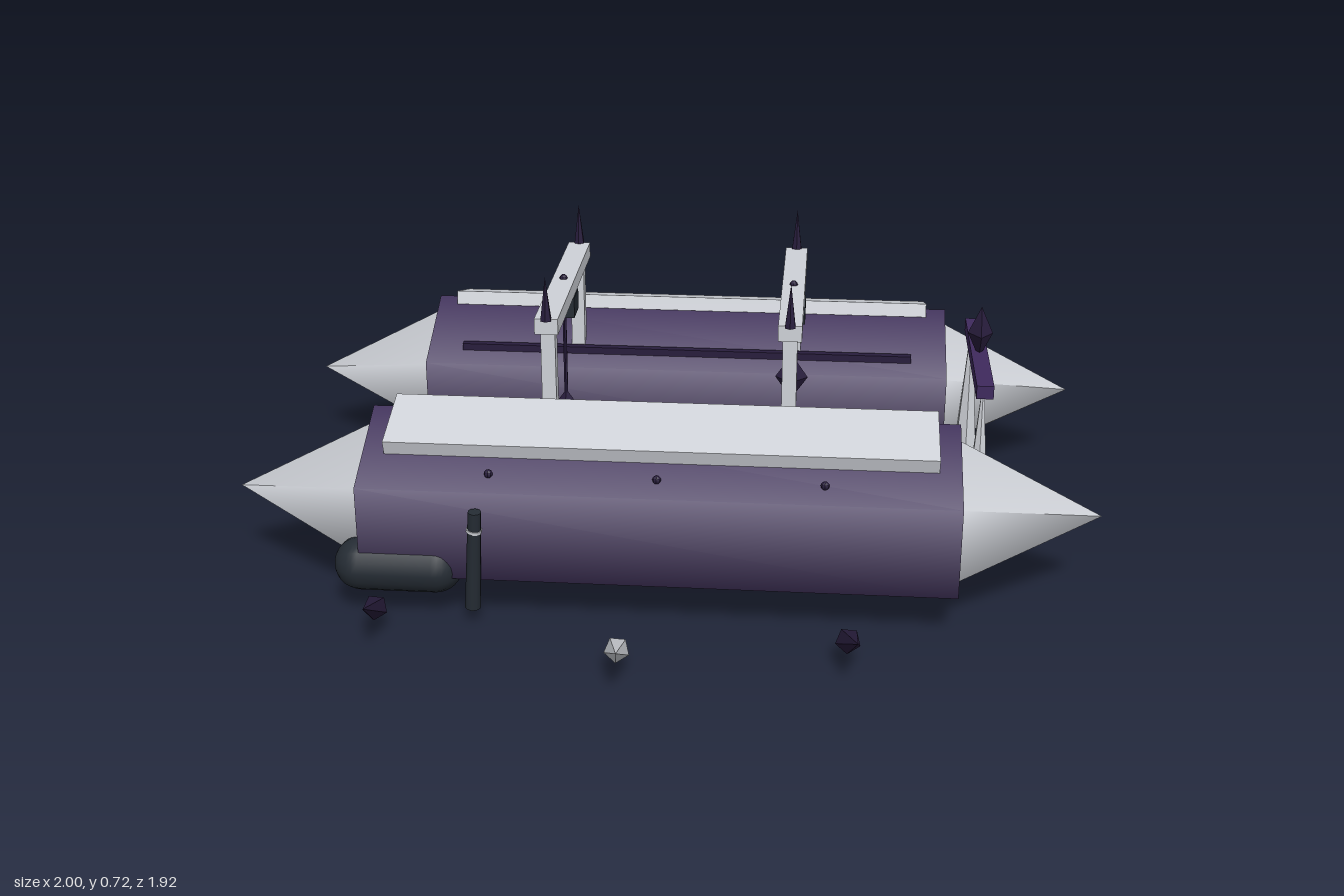
import * as THREE from 'three';

const mat = (color, flatShading = false) => new THREE.MeshStandardMaterial({ color, flatShading });
const purple = mat(0x44355f), violet = mat(0x3f2a5e), night = mat(0x281d3c, true);
const dark = mat(0x252c34), pale = mat(0xcfd2d8), paleFlat = mat(0xcfd2d8, true);

export function createModel() {
  const model = new THREE.Group();
  const add = (name, geometry, material, x, y, z) => {
    const mesh = new THREE.Mesh(geometry, material);
    mesh.name = name;
    mesh.position.set(x, y, z);
    model.add(mesh);
    return mesh;
  };
  const box = (name, w, h, d, material, x, y, z) =>
    add(name, new THREE.BoxGeometry(w, h, d), material, x, y, z);
  const gem = (name, sx, sy, sz, material, x, y, z) =>
    add(name, new THREE.OctahedronGeometry(1).scale(sx, sy, sz), material, x, y, z);
  const bolt = (x, y, z) => add('bolt', new THREE.SphereGeometry(0.01, 8, 6), night, x, y, z);
  // six-sided prism or cone lying along x, a corner at the top
  const hexAlongX = (rEnd, rStart, length) =>
    new THREE.CylinderGeometry(rEnd, rStart, length, 6, 1, false, Math.PI / 6)
      .rotateZ(-Math.PI / 2).scale(1, 1, 1.19);
  // cylinder or cone from point a to point b
  const between = (name, a, b, rA, rB, sides, material) => {
    const p = new THREE.Vector3(...a), q = new THREE.Vector3(...b);
    const dir = q.clone().sub(p);
    const mesh = add(name, new THREE.CylinderGeometry(rB, rA, dir.length(), sides), material,
      ...p.add(q).multiplyScalar(0.5).toArray());
    mesh.quaternion.setFromUnitVectors(new THREE.Vector3(0, 1, 0), dir.normalize());
    return mesh;
  };

  for (const s of [1, -1]) {
    // hull with pointed ends
    add('hull', hexAlongX(0.215, 0.215, 1.34), purple, 0, 0.215, s * 0.382);
    add('bowCone', hexAlongX(0, 0.175, 0.33), pale, 0.835, 0.215, s * 0.382);
    const stern = add('sternCone', hexAlongX(0, 0.175, 0.33), pale, -0.835, 0.215, s * 0.382);
    stern.rotation.y = Math.PI;

    // sloping roof panel, inner rail and bolts
    box('roofPanel', 1.24, 0.035, 0.17, pale, 0, 0.41, s * 0.437).rotation.x = s * 0.3;
    box('hullRail', 1.16, 0.02, 0.02, night, 0, 0.352, s * 0.215);
    for (const x of [-0.375, 0, 0.37]) bolt(x, 0.35, s * 0.56);

    // engine pod and lever with its band
    add('enginePod', new THREE.CapsuleGeometry(0.062, 0.17, 8, 16).rotateZ(Math.PI / 2),
      dark, -0.588, 0.118, s * 0.562);
    between('lever', [-0.413, 0.04, s * 0.607], [-0.397, 0.285, s * 0.622], 0.018, 0.015, 10, dark);
    between('leverBand', [-0.401, 0.235, s * 0.619], [-0.4, 0.242, s * 0.6195], 0.018, 0.018, 10, pale);

    // side board of the deck
    box('deckBoard', 1.24, 0.09, 0.03, dark, 0, 0.125, s * 0.17);
    // bow bar support
    between('bowSpire', [0.73, 0.09, s * 0.208], [0.73, 0.44, s * 0.208], 0.032, 0.004, 6, paleFlat);

    // floating shards
    for (const [x, z, m] of [[-0.625, 0.655, night], [-0.065, 0.795, paleFlat], [0.43, 0.715, night]])
      between('shard', [x, 0.055, s * z], [x + 0.018, 0.143, s * (z + 0.167)], 0.029, 0, 5, m);
  }

  // deck with runner and end sill
  box('deck', 1.24, 0.035, 0.4, dark, 0, 0.053, 0);
  box('deckRunner', 1.09, 0.01, 0.1, violet, 0, 0.073, 0);
  box('deckSill', 0.06, 0.04, 0.38, violet, 0.62, 0.06, 0);
  for (const x of [-0.52, -0.345, -0.17, 0.1, 0.27, 0.44, 0.61])
    for (const z of [-0.08, 0.08]) bolt(x, 0.076, z);
  gem('deckCrystal', 0.18, 0.055, 0.06, paleFlat, 0.16, 0.135, 0);

  // gantries, each with a hanging lantern
  for (const [x, lanternY] of [[-0.28, 0.27], [0.28, 0.38]]) {
    box('gantryBeam', 0.055, 0.038, 0.58, pale, x, 0.6, 0);
    for (const z of [-0.252, 0.252]) box('gantryPost', 0.034, 0.57, 0.034, pale, x, 0.305, z);
    for (const z of [-0.288, 0.288])
      between('beamSpike', [x, 0.615, z], [x, 0.72, z], 0.014, 0, 6, night);
    box('hoistBlock', 0.06, 0.05, 0.075, dark, x, 0.556, 0);
    bolt(x, 0.62, 0);
    between('lanternCord', [x, lanternY, 0], [x, 0.54, 0], 0.005, 0.005, 6, night);
    gem('lantern', 0.04, 0.058, 0.04, night, x, lanternY, 0);
  }

  // bow bar and finial
  box('bowBar', 0.04, 0.032, 0.46, violet, 0.733, 0.447, 0);
  gem('bowFinial', 0.03, 0.066, 0.04, night, 0.733, 0.51, 0);

  return model;
}
